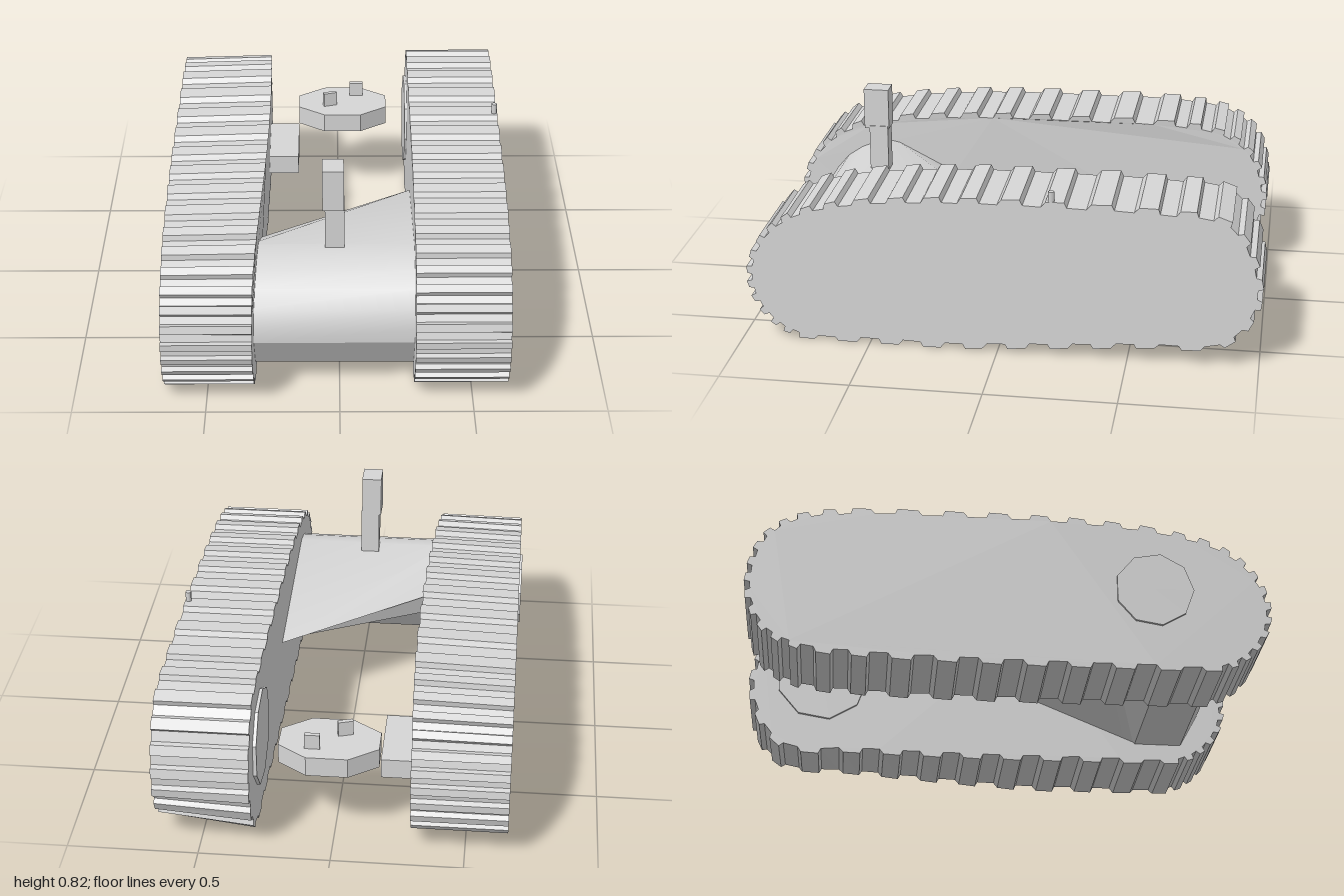
import * as THREE from 'three';
import { toCreasedNormals } from 'three/addons/utils/BufferGeometryUtils.js';

const grey = new THREE.MeshStandardMaterial({ color: 0xd6d6d6 });
grey.name = 'plain grey';

function add(parent, name, geometry, x = 0, y = 0, z = 0) {
  const mesh = new THREE.Mesh(geometry, grey);
  mesh.name = name;
  mesh.position.set(x, y, z);
  parent.add(mesh);
  return mesh;
}

// Extrudes a [z, y] outline along x from x0 to x1, then moves its vertices by a rule
function sideExtrude(points, x0, x1, rule) {
  const shape = new THREE.Shape(points.map(([z, y]) => new THREE.Vector2(-z, y)));
  const geo = new THREE.ExtrudeGeometry(shape, { depth: x1 - x0, bevelEnabled: false });
  geo.rotateY(Math.PI / 2).translate(x0, 0, 0);
  const pos = geo.attributes.position;
  const v = new THREE.Vector3();
  for (let i = 0; i < pos.count; i++) {
    rule(v.fromBufferAttribute(pos, i));
    pos.setXYZ(i, v.x, v.y, v.z);
  }
  geo.computeVertexNormals();
  return geo;
}

// Track path: bottom run, rear end (coarse or fine), then top run and front end
const BOTTOM = [[0.78, 0.032], [0.46, 0.03], [0.13, 0.031], [-0.2, 0.036], [-0.53, 0.046]];
const REAR_COARSE = [[-0.85, 0.065], [-0.965, 0.25], [-0.955, 0.42], [-0.86, 0.575]];
const REAR_FINE = [[-0.78, 0.07], [-0.9, 0.13], [-0.96, 0.25], [-0.96, 0.38], [-0.91, 0.5], [-0.8, 0.575]];
const TOP_AND_FRONT = [
  [-0.6, 0.605], [-0.25, 0.608], [0.08, 0.605], [0.36, 0.59], [0.62, 0.557],
  [0.8, 0.5], [0.905, 0.41], [0.957, 0.29], [0.945, 0.18], [0.88, 0.085],
];

// Two worn treads for each stretch of the path
function treadOutline(rear) {
  const path = [...BOTTOM, ...rear, ...TOP_AND_FRONT];
  const curve = new THREE.CatmullRomCurve3(path.map(([z, y]) => new THREE.Vector3(0, y, z)), true);
  const teeth = path.length * 2, out = [];
  for (let i = 0; i < teeth; i++) {
    for (const [t, h] of [[0, 0.029], [0.42, 0.026], [0.52, 0.006], [0.94, 0.008]]) {
      const u = (i + t) / teeth;
      const p = curve.getPoint(u), d = curve.getTangent(u);
      // outward is the travel direction turned toward the outside
      out.push([p.z - d.y * h, Math.max(0.002, p.y + d.z * h)]);
    }
  }
  return out;
}

function createTracks(group) {
  // Left track: narrows slightly to the front, lower outer edge lifted at the rear
  add(group, 'leftTrack', sideExtrude(treadOutline(REAR_COARSE), 0.29, 0.648, (v) => {
    if (v.x > 0.5) {
      const lift = THREE.MathUtils.clamp((0.2 - v.z) / 0.9, 0, 1);
      v.y += 0.055 * lift * Math.max(0, 1 - v.y / 0.3);
      v.x -= 0.016 * v.z;
    } else {
      v.x -= 0.01 * v.z;
    }
    v.z -= 0.005;
  }));
  // Right track: inner upper edge overhangs in the middle
  add(group, 'rightTrack', sideExtrude(treadOutline(REAR_FINE), -0.66, -0.309, (v) => {
    if (v.x > -0.5) {
      v.x += -0.014 * v.z + 0.028 * Math.max(0, (v.y - 0.45) / 0.18) * (1 - v.z * v.z);
      v.y += 0.012 * Math.max(0, (v.y - 0.45) / 0.18);
    }
    v.z += 0.007;
  }));
}

// Faceted round plate facing sideways
function hub(group, name, x, y, z, r, thickness) {
  const geo = new THREE.CylinderGeometry(r, r, thickness, 9).toNonIndexed();
  geo.computeVertexNormals();
  add(group, name, geo.rotateZ(Math.PI / 2), x, y, z);
}

function createHull(group) {
  // Rounded nose above a flat chin; the rear edge runs diagonally between the tracks
  const section = [
    [0.6, 0.087], [0.79, 0.084], [0.865, 0.22], [0.865, 0.28], [0.84, 0.35], [0.79, 0.41],
    [0.73, 0.452], [0.67, 0.478], [0.6, 0.49], [0.38, 0.385], [0.4, 0.29],
  ];
  const geo = sideExtrude(section, -0.34, 0.31, (v) => {
    if (v.z > 0.59) return;
    const across = (v.x + 0.32) / 0.6;
    v.z = 0.6 - (0.6 - v.z) * (1 + 1.9 * across);
    v.y = THREE.MathUtils.lerp(v.y, 0.355, across * 0.8);
  });
  add(group, 'hull', toCreasedNormals(geo, 0.42));
}

function createMast(group) {
  const mast = new THREE.Group();
  mast.name = 'mast';
  add(mast, 'mastPost', new THREE.BoxGeometry(0.074, 0.22, 0.075), -0.018, 0.56, 0.582);
  add(mast, 'mastHead', new THREE.BoxGeometry(0.08, 0.165, 0.1), -0.024, 0.741, 0.59);
  group.add(mast);
}

function createRearPlate(group) {
  const plate = new THREE.Group();
  plate.name = 'rearPlate';
  const disc = new THREE.CylinderGeometry(1.08, 1.08, 0.08, 8).toNonIndexed();
  disc.rotateY(Math.PI / 8).scale(0.19, 1, 0.133);
  disc.computeVertexNormals();
  add(plate, 'rearDisc', disc, 0.02, 0.36, -0.775);
  // Two small upright pegs
  for (const [x, z, turn] of [[-0.035, -0.74, 0.3], [0.08, -0.84, 0]]) {
    add(plate, 'peg', new THREE.BoxGeometry(0.058, 0.15, 0.018), x, 0.385, z).rotation.y = turn;
  }
  group.add(plate);
}

export function createModel() {
  const model = new THREE.Group();
  model.name = 'trackedVehicle';
  createTracks(model);
  createHull(model);
  createMast(model);
  createRearPlate(model);
  hub(model, 'innerHub', 0.3, 0.35, -0.7, 0.19, 0.03);
  hub(model, 'outerHub', -0.66, 0.33, 0.55, 0.15, 0.02);
  // Side box fixed to the right track's inner face
  add(model, 'sideBox', new THREE.BoxGeometry(0.15, 0.08, 0.305), -0.245, 0.26, -0.6);
  // Short rod on the left track's edge
  add(model, 'rod', new THREE.CylinderGeometry(0.012, 0.012, 0.135, 6), 0.638, 0.607, -0.205);
  return model;
}
